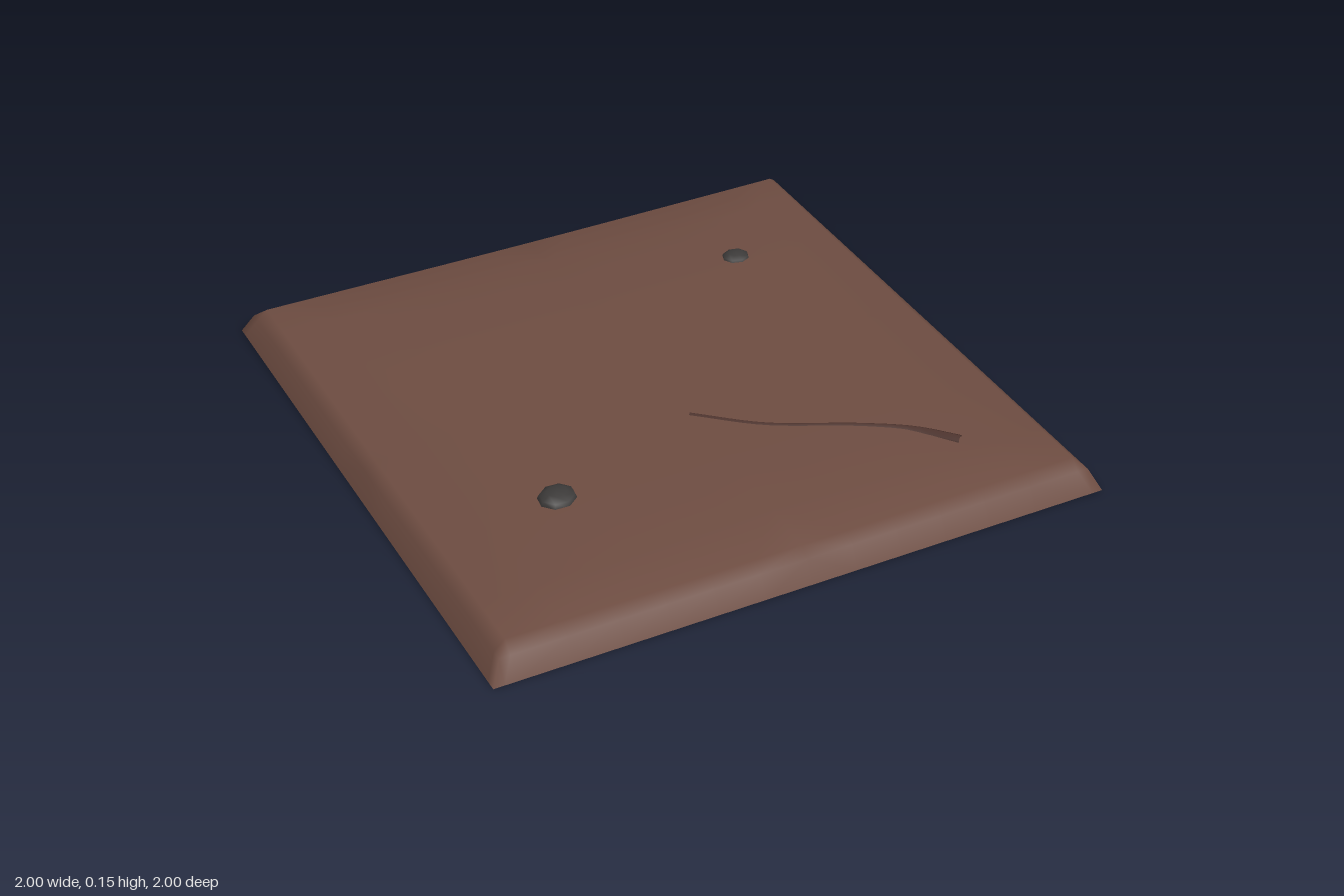
import * as THREE from 'three';

const soil = new THREE.MeshStandardMaterial({ color: 0x6d4c41, side: THREE.DoubleSide });
soil.name = 'soil brown';
const stoneGrey = new THREE.MeshStandardMaterial({ color: 0x3c3a39 });
stoneGrey.name = 'stone grey';
const rootBrown = new THREE.MeshStandardMaterial({ color: 0x4e342e, side: THREE.DoubleSide });
rootBrown.name = 'root brown';

// Height of the ground: steep rounded rim, then a very shallow dome
const rise = (t) => THREE.MathUtils.smoothstep(0.93 - Math.abs(t), -0.06, 0.4);
function height(x, z) {
  const d = Math.max(Math.abs(x), Math.abs(z));
  if (d > 0.99) return 0;
  if (d > 0.95) return 0.068;
  const e = Math.min(Math.abs(x), Math.abs(z));
  const sag = d > 0.9 ? 0.006 * Math.cos((e * Math.PI) / 1.86) : 0;
  return 0.1 - sag + 0.023 * rise(x) * rise(z);
}

// Open-bottomed slab on an uneven grid, fine at the rim
function groundGeometry() {
  const half = [0.15, 0.3, 0.45, 0.6, 0.76, 0.93, 0.965, 1];
  const lines = [...half.map((v) => -v).reverse(), 0, ...half];
  const n = lines.length;
  const position = [];
  const index = [];
  for (const z of lines) for (const x of lines) position.push(x, height(x, z), z);
  for (let j = 0; j < n - 1; j++) {
    for (let i = 0; i < n - 1; i++) {
      const a = j * n + i, b = a + 1, c = a + n, d = c + 1;
      // Diagonals run towards the corners so the mitres stay straight
      if ((i < n >> 1) === (j < n >> 1)) index.push(a, c, d, a, d, b);
      else index.push(a, c, b, b, c, d);
    }
  }
  const g = new THREE.BufferGeometry();
  g.setAttribute('position', new THREE.Float32BufferAttribute(position, 3));
  g.setIndex(index);
  g.computeVertexNormals();
  return g;
}

export function createModel() {
  const group = new THREE.Group();
  group.name = 'groundTile';
  const add = (name, geometry, material) => {
    const mesh = new THREE.Mesh(geometry, material);
    mesh.name = name;
    group.add(mesh);
    return mesh;
  };

  add('ground', groundGeometry(), soil);

  // Flattened stones set into the ground: x, y, z, radius, half height, turn
  const stones = [
    [-0.54, 0.118, 0.44, 0.064, 0.033, 0.3],
    [0.56, 0.115, -0.5, 0.05, 0.026, 0.1],
  ];
  stones.forEach(([x, y, z, r, h, turn], i) => {
    const stone = add('stone' + (i + 1), new THREE.SphereGeometry(1, 8, 6), stoneGrey);
    stone.position.set(x, y, z);
    stone.scale.set(r, h, r * 0.9);
    stone.rotation.y = turn;
  });

  // Half-buried root winding towards one corner
  const path = new THREE.CatmullRomCurve3(
    [[0, 0.24], [0.18, 0.39], [0.43, 0.52], [0.57, 0.61], [0.67, 0.715]]
      .map(([x, z]) => new THREE.Vector3(x, 0.108, z)));
  add('root', new THREE.TubeGeometry(path, 20, 0.019, 6), rootBrown);

  return group;
}
